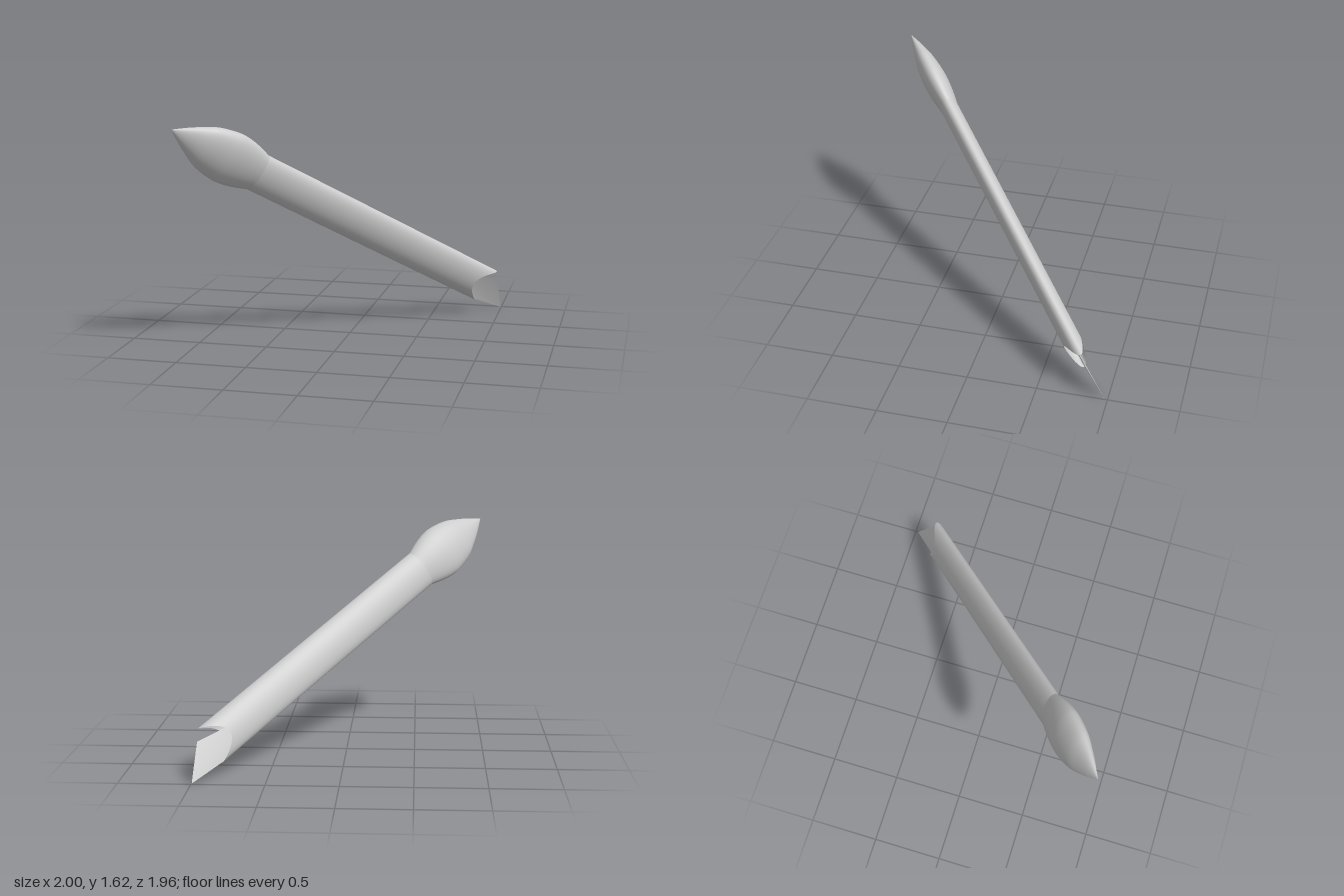
import * as THREE from 'three';

const MAJOR = 0.145, MINOR = 0.067; // half-sizes of the oval shaft
const UNIT = 1.558;                 // length along the shaft per unit of station

const material = () => new THREE.MeshStandardMaterial({ color: 0xcccccc, side: THREE.DoubleSide });

// Loft of oval rings given as [station, scale]; the last ring is cut as a fish-mouth notch
function loftOval(profile, sides, notch) {
  const pos = [], index = [];
  profile.forEach(([station, scale], i) => {
    for (let j = 0; j < sides; j++) {
      const a = (j / sides) * Math.PI * 2, q = Math.cos(a);
      const s = notch && i === profile.length - 1 ? station + notch * q * q : station;
      pos.push(MAJOR * scale * q, MINOR * scale * Math.sin(a), s * UNIT);
      if (i === 0) continue;
      const k = (j + 1) % sides, r0 = (i - 1) * sides, r1 = i * sides;
      index.push(r0 + j, r0 + k, r1 + j, r0 + k, r1 + k, r1 + j);
    }
  });
  const g = new THREE.BufferGeometry();
  g.setAttribute('position', new THREE.Float32BufferAttribute(pos, 3));
  g.setIndex(index);
  g.computeVertexNormals();
  return g;
}

function addPart(group, name, geometry) {
  const mesh = new THREE.Mesh(geometry, material());
  mesh.name = name;
  group.add(mesh);
}

export function createModel() {
  const model = new THREE.Group();
  model.name = 'slantedShaft';
  const body = new THREE.Group();
  body.name = 'body';
  model.add(body);

  // Pointed bulb-shaped head
  const head = new THREE.SplineCurve([
    [-1.005, 0.001], [-0.94, 0.46], [-0.874, 0.85], [-0.81, 1.16], [-0.72, 1.35],
    [-0.66, 1.33], [-0.6, 1.2], [-0.54, 1],
  ].map(([x, y]) => new THREE.Vector2(x, y)));
  addPart(body, 'head', loftOval(head.getPoints(28).map((p) => [p.x, p.y]), 48, 0));

  // Hollow oval shaft with a notched open end
  addPart(body, 'shaft', loftOval([[-0.54, 1], [0, 1], [0.6, 1], [0.79, 1]], 48, 0.098));

  // Thin blade held inside the notch, leaning slightly towards its tip
  const outline = [[0, 0.7], [0.077, 0.925], [-0.115, 1.068], [-0.143, 0.887], [-0.13, 0.7]];
  const blade = new THREE.ShapeGeometry(
    new THREE.Shape(outline.map(([m, s]) => new THREE.Vector2(m, s))));
  const p = blade.attributes.position;
  for (let i = 0; i < p.count; i++) {
    const m = p.getX(i), s = p.getY(i);
    p.setXYZ(i, m, m * 0.9 * Math.max(0, s - 0.86), s * UNIT);
  }
  blade.computeVertexNormals();
  addPart(body, 'endBlade', blade);

  // Lay the body along its diagonal axis, with the oval rolled about it
  const axis = new THREE.Vector3(1, -0.737, -0.94).normalize();
  const side = new THREE.Vector3(-axis.z, 0, axis.x).normalize();
  const up = new THREE.Vector3().crossVectors(axis, side).negate();
  if (up.y < 0) up.negate();
  const roll = THREE.MathUtils.degToRad(66.8);
  const major = side.multiplyScalar(Math.cos(roll)).addScaledVector(up, Math.sin(roll));
  const minor = new THREE.Vector3().crossVectors(axis, major);
  body.quaternion.setFromRotationMatrix(new THREE.Matrix4().makeBasis(major, minor, axis));
  body.position.set(0, 0.88, 0.012);

  // Stand on the ground and centre
  const box = new THREE.Box3().setFromObject(model, true);
  const c = box.getCenter(new THREE.Vector3());
  body.position.x -= c.x;
  body.position.y -= box.min.y;
  body.position.z -= c.z;
  return model;
}
